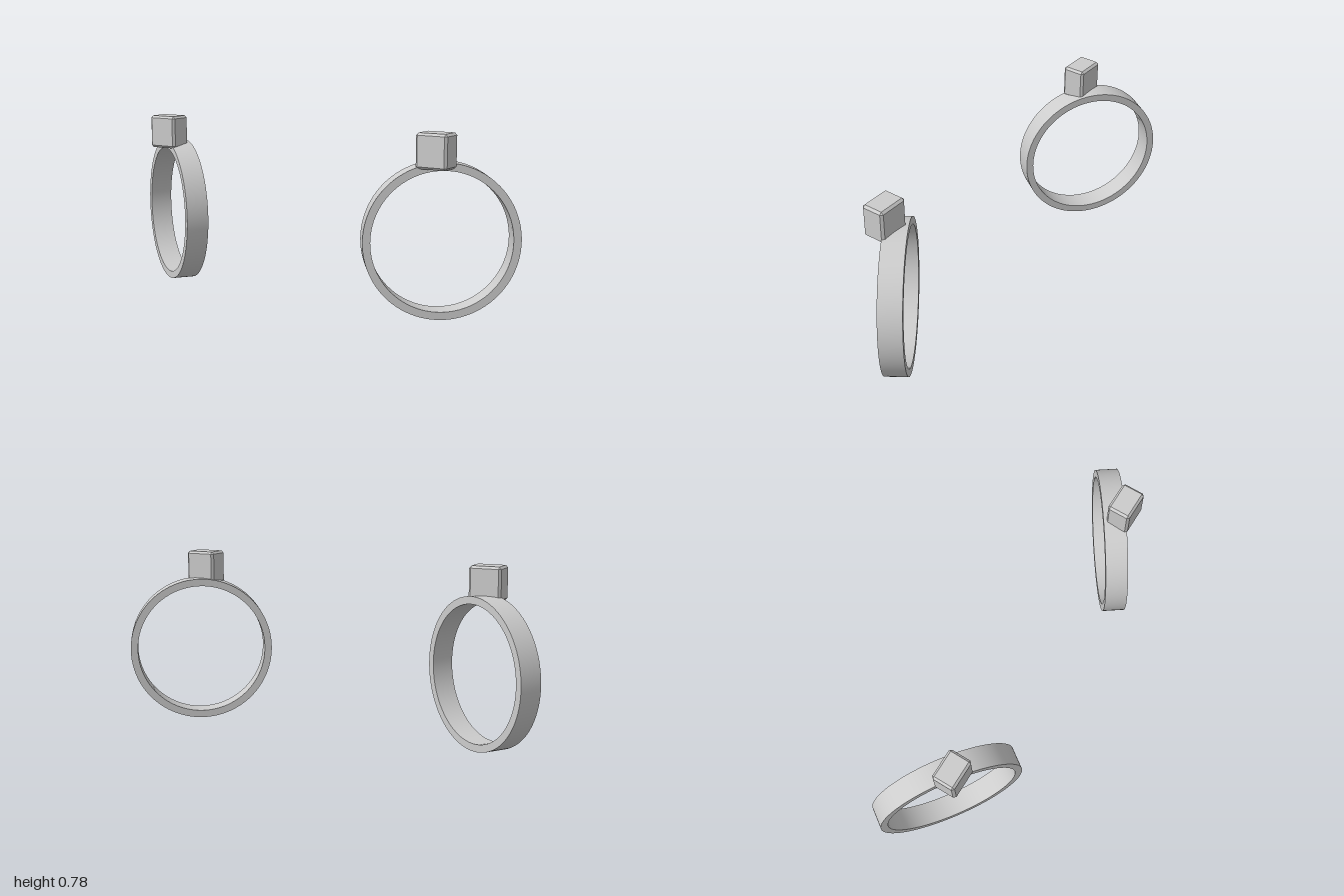
import * as THREE from 'three';
import { toCreasedNormals } from 'three/addons/utils/BufferGeometryUtils.js';
import { ConvexGeometry } from 'three/addons/geometries/ConvexGeometry.js';

const OUTER = 0.33, INNER = 0.297, WIDTH = 0.1;

// Flat band with crisp rims, centred on its own origin
function bandGeometry() {
  const shape = new THREE.Shape().absarc(0, 0, OUTER, 0, Math.PI * 2, false);
  shape.holes.push(new THREE.Path().absarc(0, 0, INNER, 0, Math.PI * 2, true));
  const geometry = new THREE.ExtrudeGeometry(shape, { depth: WIDTH, bevelEnabled: false, curveSegments: 48 });
  geometry.translate(0, 0, -WIDTH / 2);
  return toCreasedNormals(geometry, Math.PI / 5);
}

// Box with every edge cut by a flat chamfer
function chamferedBox(w, h, d, c) {
  const points = [];
  for (const x of [-1, 1]) for (const y of [-1, 1]) for (const z of [-1, 1]) {
    const [a, b, e] = [w / 2, h / 2, d / 2];
    points.push(
      new THREE.Vector3(x * a, y * (b - c), z * (e - c)),
      new THREE.Vector3(x * (a - c), y * b, z * (e - c)),
      new THREE.Vector3(x * (a - c), y * (b - c), z * e)
    );
  }
  return new ConvexGeometry(points);
}

export function createModel() {
  const model = new THREE.Group();
  const metal = new THREE.MeshStandardMaterial({ color: 0xcccccc });
  metal.name = 'grey metal';
  const bandGeo = bandGeometry();
  const blockGeo = chamferedBox(0.142, 0.149, 0.106, 0.01);

  // Mirrored pair of rings, each turned outwards with a square block on top
  for (const side of [1, -1]) {
    const ring = new THREE.Group();
    ring.name = side > 0 ? 'leftRing' : 'rightRing';
    ring.position.x = side * 0.7;

    const band = new THREE.Mesh(bandGeo, metal);
    band.name = 'band';
    band.position.y = OUTER;
    band.rotation.y = side * THREE.MathUtils.degToRad(35);

    const block = new THREE.Mesh(blockGeo, metal);
    block.name = 'block';
    block.position.set(0, 0.709, 0.053);

    ring.add(band, block);
    model.add(ring);
  }
  return model;
}
